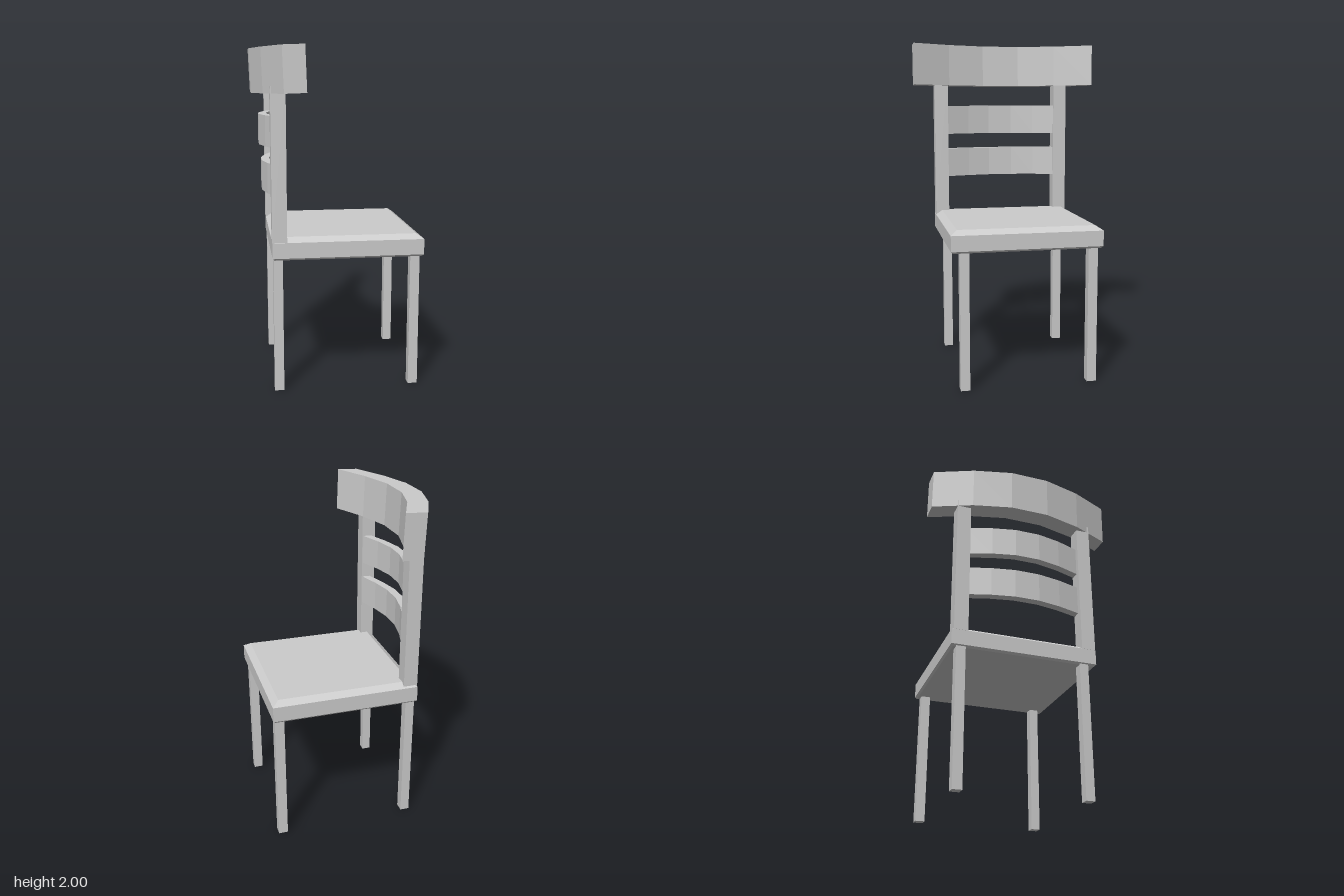
import * as THREE from 'three';

const material = new THREE.MeshStandardMaterial({ color: 0xcccccc, flatShading: true });

// The chair faces +x
export function createModel() {
  const chair = new THREE.Group();
  chair.name = 'chair';

  const add = (name, geometry) => {
    const flat = geometry.index ? geometry.toNonIndexed() : geometry;
    flat.computeVertexNormals();
    const mesh = new THREE.Mesh(flat, material);
    mesh.name = name;
    chair.add(mesh);
    return mesh;
  };

  // Box given by its limits on each axis
  const block = (name, x0, x1, y0, y1, z0, z1) =>
    add(name, new THREE.BoxGeometry(x1 - x0, y1 - y0, z1 - z0)
      .translate((x0 + x1) / 2, (y0 + y1) / 2, (z0 + z1) / 2));

  // Curved bar: half of the rear outline as [x, z], mirrored across z = 0
  const curvedBar = (name, half, depth, y0, y1) => {
    const rear = [...half, ...half.slice().reverse().map(([x, z]) => [x, -z])];
    const front = rear.slice().reverse().map(([x, z]) => [x + depth, z]);
    const shape = new THREE.Shape([...rear, ...front].map(([x, z]) => new THREE.Vector2(x, -z)));
    const geometry = new THREE.ExtrudeGeometry(shape, { depth: y1 - y0, bevelEnabled: false });
    return add(name, geometry.rotateX(-Math.PI / 2).translate(0, y0, 0));
  };

  // Seat: a box whose height rings are inset to chamfer its edges
  const rings = [[0.802, 0.012], [0.814, 0], [0.905, 0], [0.932, 0.04]]; // height, inset
  const seat = new THREE.BoxGeometry(2, 3, 2, 1, 3, 1);
  const p = seat.attributes.position;
  for (let i = 0; i < p.count; i++) {
    const [y, inset] = rings[Math.round(p.getY(i) + 1.5)];
    p.setXYZ(i, 0.05 + p.getX(i) * (0.439 - inset), y, p.getZ(i) * (0.442 - inset));
  }
  add('seat', seat);

  // Legs and back posts
  for (const [side, z0, z1] of [['left', -0.413, -0.357], ['right', 0.338, 0.392]]) {
    block(side + 'BackLeg', -0.383, -0.328, 0, 0.81, z0, z1);
    block(side + 'FrontLeg', 0.42, 0.476, 0, 0.81, z0, z1);
  }
  block('leftBackPost', -0.39, -0.305, 0.905, 1.78, -0.43, -0.346);
  block('rightBackPost', -0.39, -0.305, 0.905, 1.78, 0.355, 0.44);

  // Curved slats between the posts
  curvedBar('upperSlat', [[-0.36, 0.36], [-0.41, 0.215], [-0.44, 0.075]], 0.05, 1.43, 1.61);
  curvedBar('lowerSlat', [[-0.357, 0.36], [-0.4, 0.215], [-0.426, 0.075]], 0.05, 1.155, 1.335);

  // Thick curved top rail, leaning back slightly
  const rail = curvedBar('topRail', [[-0.33, 0.576], [-0.432, 0.345], [-0.491, 0.117]], 0.123, 1.74, 1.994);
  rail.geometry.translate(0.35, -1.867, 0).rotateZ(0.035).translate(-0.348, 1.867, 0);

  return chair;
}
